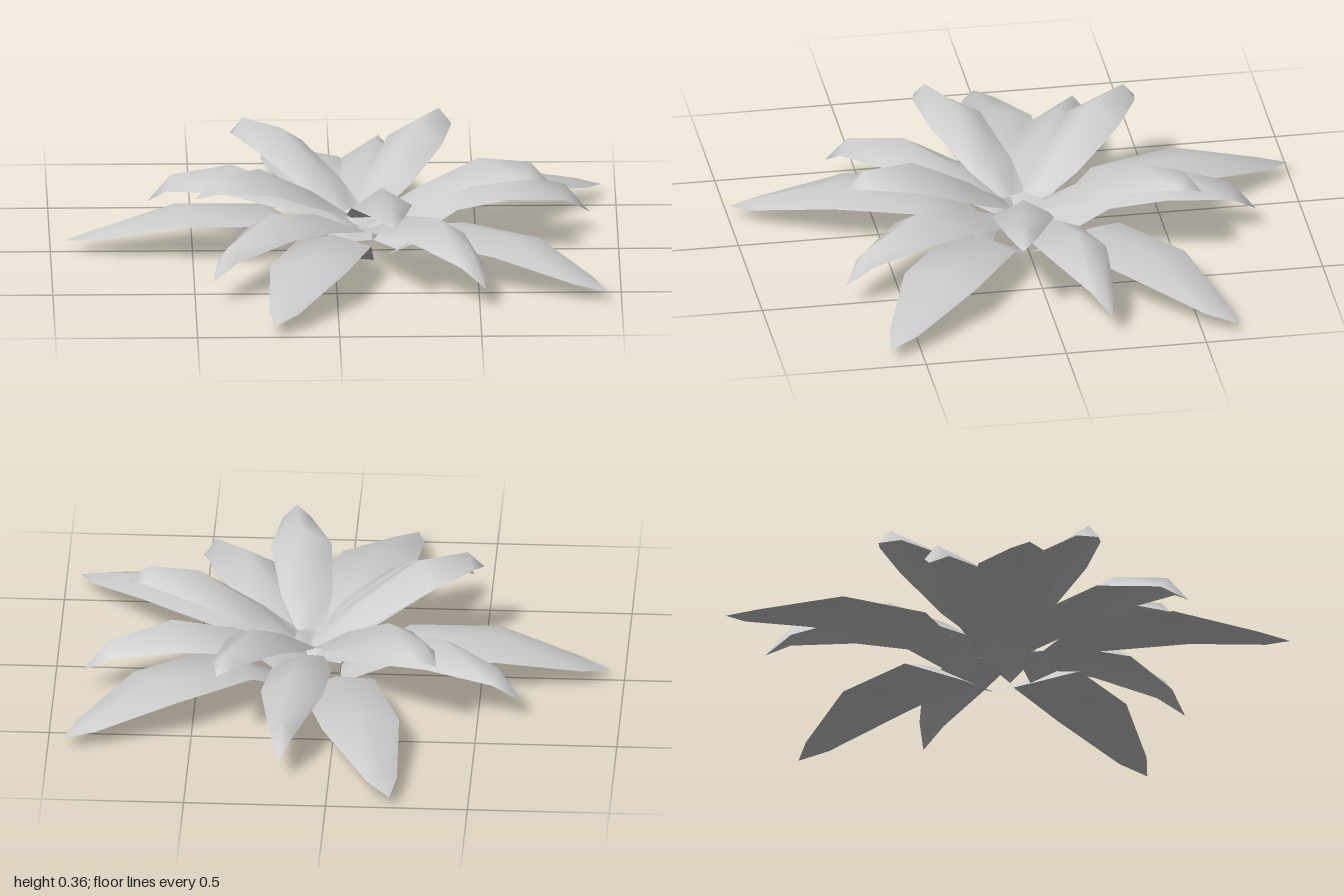
import * as THREE from 'three';

const material = new THREE.MeshStandardMaterial({ color: 0xcccccc, side: THREE.DoubleSide });

// Each tier: angle of its first leaf, then stations along the leaf as
// [distance from centre, half width, ridge height, edge height]
const tiers = [
  { name: 'outerLeaf', angle: 36, stations: [
    [0.10, 0.07, 0.00, 0.00], [0.34, 0.135, 0.16, 0.13], [0.66, 0.14, 0.17, 0.13],
    [0.95, 0.055, 0.08, 0.06], [1.05, 0, 0.04, 0.04]] },
  { name: 'middleLeaf', angle: 12.7, stations: [
    [0.02, 0.05, 0.08, 0.08], [0.27, 0.105, 0.20, 0.15], [0.50, 0.11, 0.255, 0.18],
    [0.73, 0.045, 0.19, 0.14], [0.82, 0, 0.08, 0.08]] },
  { name: 'innerLeaf', angle: -9.7, stations: [
    [0.06, 0.05, 0.14, 0.14], [0.20, 0.09, 0.245, 0.20], [0.41, 0.108, 0.36, 0.29],
    [0.595, 0.05, 0.355, 0.305], [0.66, 0, 0.285, 0.285]] },
];

// Roof-shaped blade along +x: edge, ridge, edge at every station, one shared tip
function leafGeometry(stations) {
  const points = [], faces = [];
  const tip = stations.length - 1;
  stations.forEach(([r, w, ridge, edge], i) => {
    if (i === tip) points.push(r, ridge, 0);
    else points.push(r, edge, w, r, ridge, 0, r, edge, -w);
  });
  for (let i = 0; i < tip; i++) {
    for (let j = 0; j < 2; j++) {
      const a = i * 3 + j, b = a + 1;
      if (i === tip - 1) faces.push(a, tip * 3, b);
      else faces.push(a, a + 3, b, b, a + 3, b + 3);
    }
  }
  const geometry = new THREE.BufferGeometry();
  geometry.setAttribute('position', new THREE.Float32BufferAttribute(points, 3));
  geometry.setIndex(faces);
  geometry.computeVertexNormals();
  return geometry;
}

export function createModel() {
  const plant = new THREE.Group();
  plant.name = 'leafRosette';
  // Three tiers of five leaves around a shared centre
  for (const { name, angle, stations } of tiers) {
    const geometry = leafGeometry(stations);
    for (let i = 0; i < 5; i++) {
      const leaf = new THREE.Mesh(geometry, material);
      leaf.name = name;
      leaf.position.x = 0.1;
      leaf.rotation.y = THREE.MathUtils.degToRad(angle + i * 72);
      plant.add(leaf);
    }
  }
  return plant;
}
